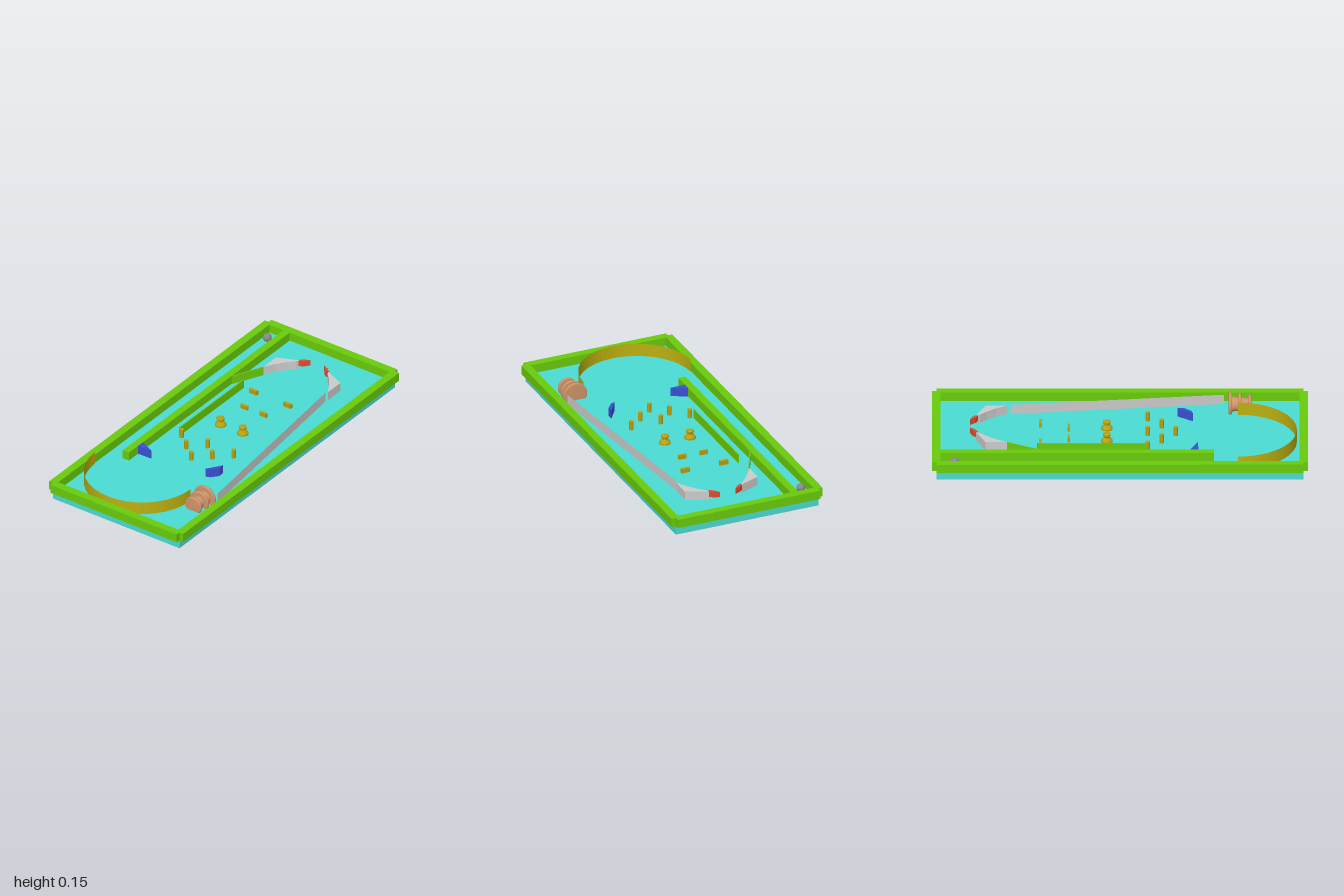
import * as THREE from 'three';

const FLOOR = 0.05, TOP = 0.1;
const mat = (color, extra = {}) => new THREE.MeshStandardMaterial({ color, ...extra });
const MATS = {
  cyan: mat(0x4adcd4), green: mat(0x6acc0c), gold: mat(0xb8a010, { flatShading: true }),
  ribbon: mat(0xbcb010, { side: THREE.DoubleSide }), blue: mat(0x3a4fd0), red: mat(0xe04a30),
  grey: mat(0xcccccc), sheet: mat(0xcccccc, { side: THREE.DoubleSide }),
  steel: mat(0x888888, { flatShading: true }), copper: mat(0xd0946a),
};

export function createModel() {
  const model = new THREE.Group();
  const add = (name, geometry, material, x = 0, y = 0, z = 0) => {
    const mesh = new THREE.Mesh(geometry, material);
    mesh.name = name;
    mesh.position.set(x, y, z);
    model.add(mesh);
    return mesh;
  };
  const box = (name, material, x0, x1, y0, y1, z0, z1) =>
    add(name, new THREE.BoxGeometry(x1 - x0, y1 - y0, z1 - z0), material,
      (x0 + x1) / 2, (y0 + y1) / 2, (z0 + z1) / 2);
  // upright prism from a plan outline of [x, z] points
  const prism = (name, material, points, y0 = FLOOR, y1 = TOP) => {
    const shape = new THREE.Shape(points.map(([x, z]) => new THREE.Vector2(x, -z)));
    const geometry = new THREE.ExtrudeGeometry(shape, { depth: y1 - y0, bevelEnabled: false });
    return add(name, geometry.rotateX(-Math.PI / 2), material, 0, y0, 0);
  };
  // thin upright wall between two plan points
  const wall = (name, material, [xa, za], [xb, zb], height, thickness) => {
    const length = Math.hypot(xb - xa, zb - za);
    const geometry = thickness
      ? new THREE.BoxGeometry(length, height, thickness)
      : new THREE.PlaneGeometry(length, height);
    const mesh = add(name, geometry, material, (xa + xb) / 2, FLOOR + height / 2, (za + zb) / 2);
    mesh.rotation.y = -Math.atan2(zb - za, xb - xa);
  };

  // table and frame
  box('tableBase', MATS.cyan, -0.975, 0.975, 0, FLOOR, -0.415, 0.415);
  for (const s of [-1, 1]) {
    add('sideRail', new THREE.BoxGeometry(1.95, 0.05, 0.045), MATS.green, 0, 0.075, s * 0.4175);
    add('endRail', new THREE.BoxGeometry(0.045, 0.05, 0.83), MATS.green, s * 0.9775, 0.075, 0);
  }
  box('launchLaneRail', MATS.green, -0.5, 0.955, FLOOR, TOP, -0.303, -0.262);

  // lane walls
  wall('laneDivider', MATS.green, [-0.14, -0.19], [0.44, -0.19], 0.05, 0.006);
  wall('laneGuide', MATS.green, [0.43, -0.262], [0.6, -0.178], 0.05, 0.006);
  wall('longGuideWall', MATS.sheet, [-0.553, 0.36], [0.583, 0.243], 0.055, 0);

  // half-round ribbon at the far end
  add('curvedRibbon', new THREE.CylinderGeometry(0.3125, 0.3125, 0.073, 18, 1, true, Math.PI, Math.PI),
    MATS.ribbon, -0.628, FLOOR + 0.0365, -0.078);

  // guides and flippers, mirrored about the drain line
  const drain = 0.034;
  for (const s of [-1, 1]) {
    const mirror = (points) => points.map(([x, d]) => [x, drain + s * d]);
    prism('flipperGuide', MATS.grey,
      mirror([[0.6, 0.212], [0.715, 0.212], [0.765, 0.095], [0.745, 0.105], [0.71, 0.14], [0.66, 0.178]]));
    prism('flipper', MATS.red,
      mirror([[0.755, 0.092], [0.77, 0.095], [0.785, 0.078], [0.798, 0.045], [0.768, 0.068]]),
      0.07, 0.102);
  }

  // deflectors
  prism('cornerDeflector', MATS.blue, [[-0.417, -0.262], [-0.374, -0.262], [-0.414, -0.176]]);
  prism('slantedDeflector', MATS.blue,
    [[-0.387, 0.16], [-0.348, 0.187], [-0.305, 0.215], [-0.34, 0.216], [-0.378, 0.185]]);

  // pins in a triangle
  for (let row = 0; row < 3; row++) {
    for (let i = 0; i <= row; i++) {
      if (row === 1 || row !== 1) {
        add('pin', new THREE.CylinderGeometry(0.012, 0.012, 0.05, 10), MATS.gold,
          -0.297 + row * 0.0745, 0.075, (i - row / 2) * 0.17);
      }
    }
  }

  // bumpers and low targets
  const bumperProfile = [[0, 0], [0.031, 0], [0.031, 0.008], [0.016, 0.026], [0.016, 0.032],
    [0.021, 0.036], [0.021, 0.046], [0.014, 0.05], [0, 0.05]].map(([r, y]) => new THREE.Vector2(r, y));
  for (const s of [-1, 1]) {
    add('bumper', new THREE.LatheGeometry(bumperProfile, 14), MATS.gold, 0.07, FLOOR, s * 0.073);
    add('innerTarget', new THREE.BoxGeometry(0.013, 0.025, 0.044), MATS.gold, 0.272, 0.0625, s * 0.062);
    add('outerTarget', new THREE.BoxGeometry(0.016, 0.025, 0.05), MATS.gold, 0.422, 0.0625, s * 0.112);
  }

  // ball in the launch lane
  add('ball', new THREE.SphereGeometry(0.024, 10, 8), MATS.steel, 0.88, 0.074, -0.355);

  // stepped spool lying along x
  const spool = [[-0.69, 0.052], [-0.637, 0.06], [-0.587, 0.069]];
  const spoolY = 0.079, spoolZ = 0.302;
  for (const [x, r] of spool) {
    const rim = [[0, -0.009], [r - 0.006, -0.009], [r - 0.001, -0.006], [r, 0], [r - 0.001, 0.006],
      [r - 0.006, 0.009], [0, 0.009]].map(([a, b]) => new THREE.Vector2(a, b));
    add('spoolRim', new THREE.LatheGeometry(rim, 28), MATS.copper, x, spoolY, spoolZ).rotation.z = -Math.PI / 2;
  }
  add('spoolCore', new THREE.CylinderGeometry(0.042, 0.03, 0.1, 24), MATS.copper,
    -0.638, spoolY, spoolZ).rotation.z = -Math.PI / 2;

  return model;
}
